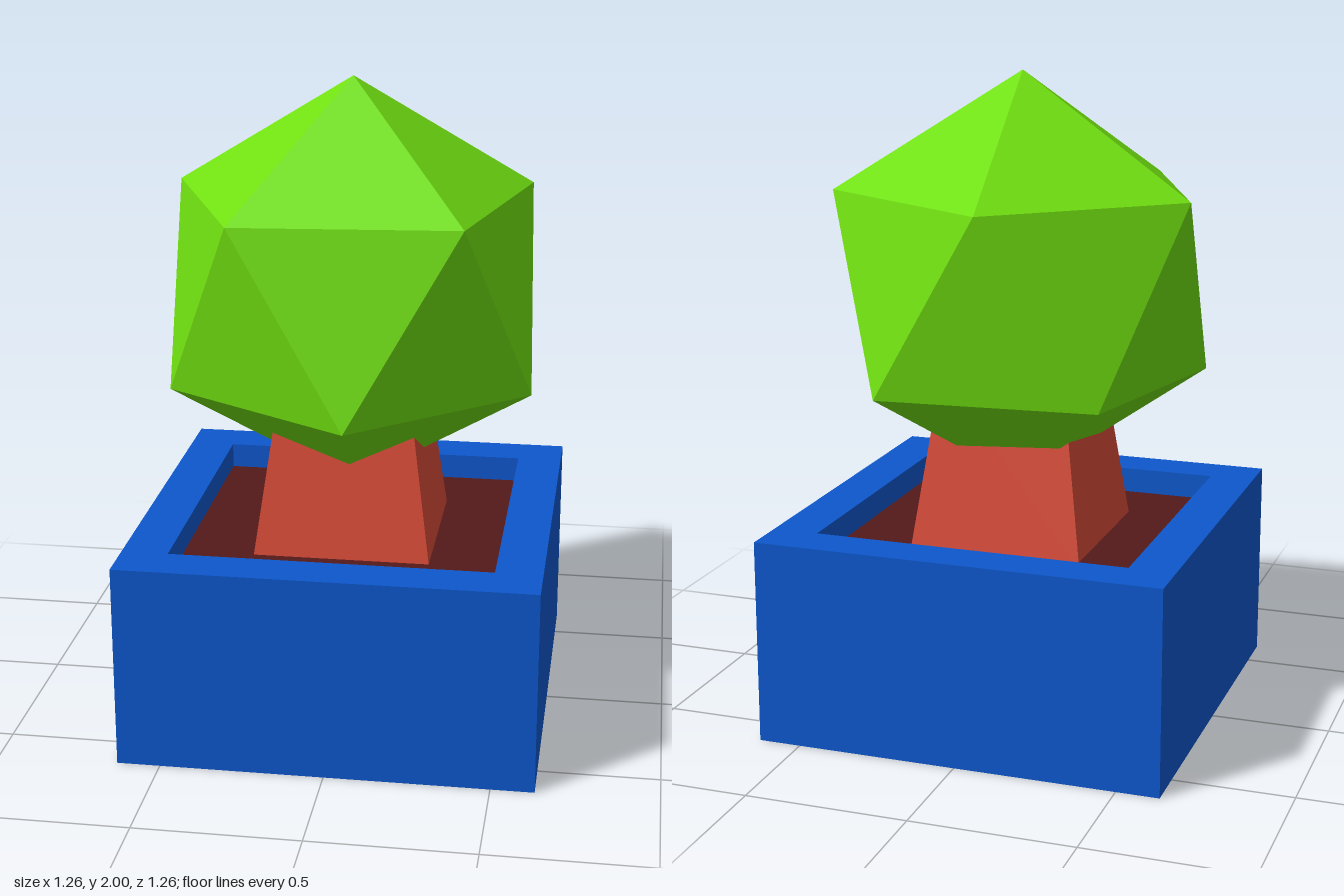
import * as THREE from 'three';
import { ConvexGeometry } from 'three/addons/geometries/ConvexGeometry.js';

function addPart(group, name, geometry, color) {
  const material = new THREE.MeshStandardMaterial({ color, flatShading: true });
  const mesh = new THREE.Mesh(geometry, material);
  mesh.name = name;
  group.add(mesh);
  return mesh;
}

// Square solid turned from a profile of [half width, height] pairs, bottom to top
function squareLathe(profile) {
  const points = profile.map(([half, y]) => new THREE.Vector2(half * Math.SQRT2, y));
  const geometry = new THREE.LatheGeometry(points, 4, Math.PI / 4).toNonIndexed();
  geometry.computeVertexNormals();
  return geometry;
}

// Icosahedron standing on a corner: two poles and two staggered rings of five
function uprightIcosahedron(radius, turn) {
  const points = [new THREE.Vector3(0, radius, 0), new THREE.Vector3(0, -radius, 0)];
  const ringY = radius / Math.sqrt(5);
  for (let i = 0; i < 10; i++) {
    const angle = turn + (i * Math.PI) / 5;
    const y = i % 2 === 0 ? ringY : -ringY;
    points.push(new THREE.Vector3(2 * ringY * Math.cos(angle), y, 2 * ringY * Math.sin(angle)));
  }
  return new ConvexGeometry(points);
}

export function createModel() {
  const group = new THREE.Group();
  group.name = 'pottedTree';

  // Square planter with a thick rim and a recess
  addPart(group, 'planter', squareLathe([
    [0, 0], [0.632, 0], [0.632, 0.635], [0.49, 0.635], [0.49, 0.5], [0, 0.5],
  ]), 0x0d57cc);

  // Soil just below the rim
  const soil = addPart(group, 'soil', new THREE.BoxGeometry(0.98, 0.055, 0.98), 0x551a1a);
  soil.position.y = 0.5275;

  // Tapered square trunk reaching into the foliage
  addPart(group, 'trunk', squareLathe([[0, 0.53], [0.275, 0.53], [0.195, 1.1], [0, 1.1]]), 0xd64a37);

  // Faceted foliage
  const foliage = addPart(group, 'foliage',
    uprightIcosahedron(0.645, THREE.MathUtils.degToRad(49)), 0x70e010);
  foliage.position.y = 1.355;

  return group;
}
